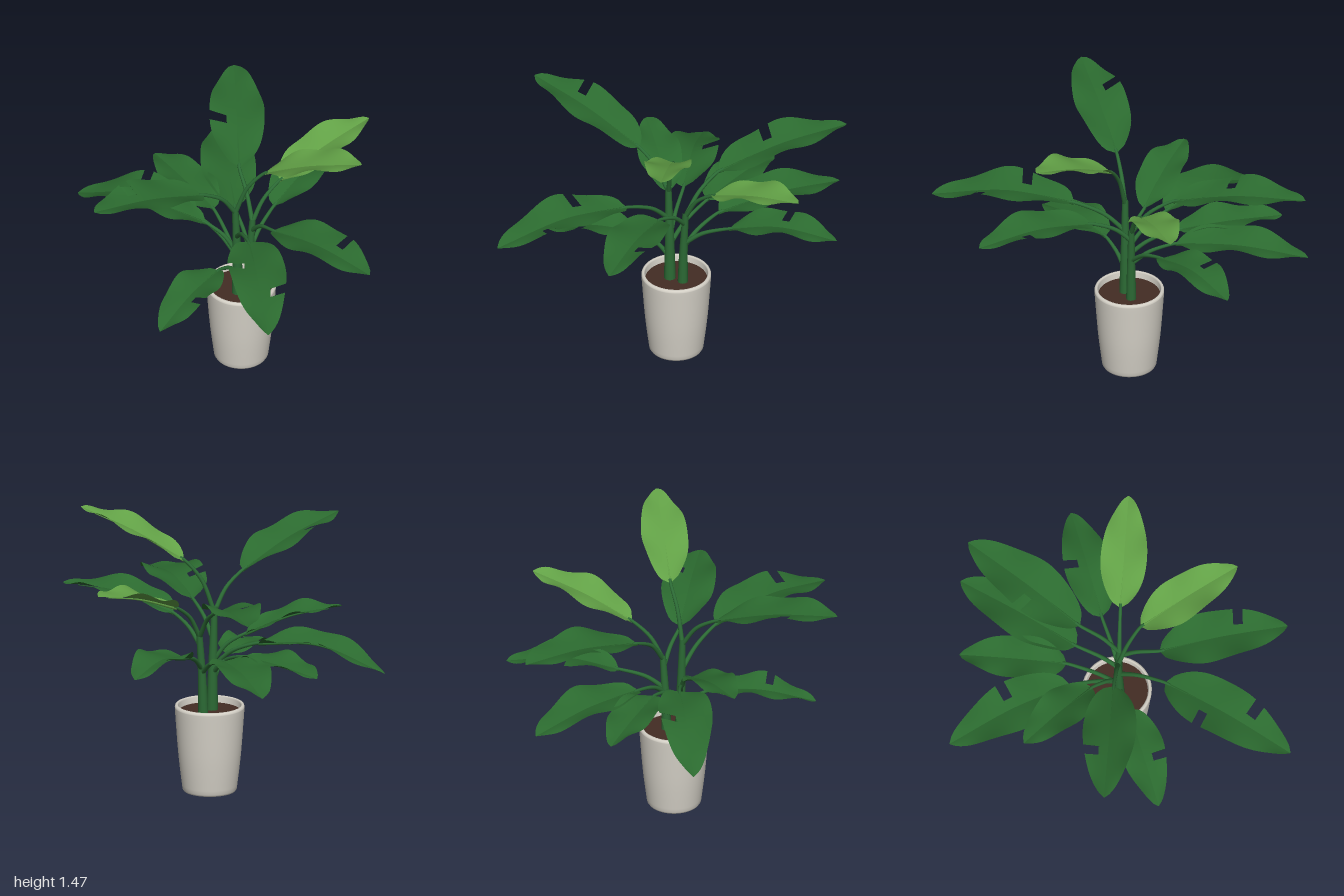
import * as THREE from 'three';

const { lerp } = THREE.MathUtils;
const V = (x, y, z) => new THREE.Vector3(x, y, z);
const mat = (name, color, side = THREE.FrontSide) => {
  const m = new THREE.MeshStandardMaterial({ color, side });
  m.name = name;
  return m;
};

// Round tube along a curve, narrowing from r0 to r1
function taperedTube(curve, r0, r1, segments, sides) {
  const geo = new THREE.TubeGeometry(curve, segments, 1, sides, false);
  const p = geo.attributes.position;
  const v = V(0, 0, 0);
  for (let i = 0; i <= segments; i++) {
    const c = curve.getPointAt(i / segments);
    const r = lerp(r0, r1, i / segments);
    for (let j = 0; j <= sides; j++) {
      const k = i * (sides + 1) + j;
      v.fromBufferAttribute(p, k).sub(c).multiplyScalar(r).add(c);
      p.setXYZ(k, v.x, v.y, v.z);
    }
  }
  return geo;
}

// Blade outline from base (0) to tip (1): broad below the middle, pointed at the end
const halfWidth = (t) => Math.max(0.02, Math.max(0, Math.sin(Math.PI * t ** 0.8)) ** 0.65);

// Folded, rippled blade; a tear is a position along it, negative for the left half
function bladeGeometry(rib, width, tears, seed) {
  const cols = 4, gap = 0.035, depth = 0.62;
  const pos = [], index = [];
  const d = rib.getPoint(1).sub(rib.getPoint(0)).setY(0).normalize();
  const across = V(-d.z, 0, d.x);
  for (const side of [-1, 1]) {
    const cuts = tears.map((c) => c * side).filter((c) => c > 0);
    const rows = Array.from({ length: 33 }, (_, i) => i / 32);
    cuts.forEach((c) => rows.push(c - gap - 0.001, c - gap, c + gap, c + gap + 0.001));
    rows.sort((a, b) => a - b);
    const start = pos.length / 3;
    rows.forEach((t, i) => {
      const torn = cuts.some((c) => Math.abs(t - c) <= gap + 1e-5);
      for (let j = 0; j <= cols; j++) {
        const u = (j / cols) * (torn ? 1 - depth : 1);
        const w = u * halfWidth(t) * width;
        const p = rib.getPoint(Math.min(1, t + 0.1 * u * t * (1 - t)));
        p.addScaledVector(across, side * w);
        p.y += w * 0.3 + 0.014 * u * u * Math.sin(t * 13 + seed + side) * Math.min(1, halfWidth(t) * 2);
        pos.push(p.x, p.y, p.z);
        if (i && j) {
          const b = start + i * (cols + 1) + j, a = b - cols - 1;
          if (side > 0) index.push(a - 1, a, b, a - 1, b, b - 1);
          else index.push(a - 1, b, a, a - 1, b - 1, b);
        }
      }
    });
  }
  const geo = new THREE.BufferGeometry();
  geo.setAttribute('position', new THREE.Float32BufferAttribute(pos, 3));
  geo.setIndex(index);
  geo.computeVertexNormals();
  return geo;
}

export function createModel() {
  const plant = new THREE.Group();
  plant.name = 'pottedPlant';
  const ceramic = mat('ceramic', 0xd6d2c8);
  const soilBrown = mat('soil', 0x432c24);
  const stemGreen = mat('stemGreen', 0x2c6b35);
  const leafGreen = mat('leafGreen', 0x2b6a2f, THREE.DoubleSide);
  const youngGreen = mat('youngLeafGreen', 0x62a146, THREE.DoubleSide);
  const add = (name, geo, material, parent = plant) => {
    const mesh = new THREE.Mesh(geo, material);
    mesh.name = name;
    parent.add(mesh);
    return mesh;
  };

  // Pot with a rounded rim, and the soil inside it
  const wall = new THREE.SplineCurve([
    new THREE.Vector2(0.141, 0.01), new THREE.Vector2(0.162, 0.19),
    new THREE.Vector2(0.178, 0.4), new THREE.Vector2(0.181, 0.45),
  ]).getPoints(16);
  const profile = [
    new THREE.Vector2(0, 0), new THREE.Vector2(0.135, 0), ...wall,
    new THREE.Vector2(0.177, 0.46), new THREE.Vector2(0.168, 0.462),
    new THREE.Vector2(0.162, 0.455), new THREE.Vector2(0.158, 0.39),
  ];
  const centre = V(0.055, 0, -0.048);
  add('pot', new THREE.LatheGeometry(profile, 48), ceramic).position.copy(centre);
  add('soil', new THREE.CylinderGeometry(0.161, 0.159, 0.02, 40), soilBrown)
    .position.set(centre.x, 0.415, centre.z);

  // Blade, stalk and midrib of one leaf; its base lies part of the way out to the tip
  function addLeaf(stem, tip, baseY, out, lift, tears, blade) {
    const leaf = new THREE.Group();
    leaf.name = blade === youngGreen ? 'youngLeaf' : 'leaf';
    plant.add(leaf);
    const base = centre.clone().lerp(tip, out).setY(baseY);
    const middle = base.clone().lerp(tip, 0.47);
    middle.y += lift;
    const rib = new THREE.CatmullRomCurve3([base, middle, tip]);
    const width = 0.04 + 0.145 * Math.hypot(tip.x - base.x, tip.z - base.z);
    add('blade', bladeGeometry(rib, width, tears, tip.x * 9), blade, leaf);

    // Stalk rising beside the stem, then bending out to the blade
    const [foot, , top] = stem.points;
    const start = stem.getPoint(Math.min(0.95, (baseY * 0.86 - foot.y) / (top.y - foot.y)));
    const bend = start.clone().lerp(base, 0.42);
    bend.y = lerp(start.y, baseY, 0.62);
    const stalk = new THREE.CatmullRomCurve3([start, bend, base, rib.getPoint(0.04)]);
    add('stalk', taperedTube(stalk, 0.013, 0.008, 18, 8), stemGreen, leaf);

    // Midrib along the underside
    const under = rib.getPoints(8).slice(0, 8).map((p) => p.setY(p.y - 0.005));
    add('midrib', taperedTube(new THREE.CatmullRomCurve3(under), 0.008, 0.002, 20, 6), blade, leaf);
  }

  // Taller stem and its leaves
  const tall = new THREE.CatmullRomCurve3([V(0.033, 0.41, -0.022), V(0.03, 0.65, -0.022), V(0.02, 0.98, -0.02)]);
  add('tallStem', taperedTube(tall, 0.031, 0.016, 16, 12), stemGreen);
  addLeaf(tall, V(0.05, 0.92, 0.99), 0.95, 0.28, 0.05, [0.36, -0.66], leafGreen);
  addLeaf(tall, V(-0.77, 1.32, 0.35), 1.14, 0.26, 0.025, [0.62], leafGreen);
  addLeaf(tall, V(-0.61, 0.98, -0.22), 0.84, 0.27, 0.03, [], leafGreen);
  addLeaf(tall, V(-0.72, 0.71, -0.6), 0.815, 0.28, 0.07, [0.5], leafGreen);
  addLeaf(tall, V(-0.445, 0.61, 0.49), 0.675, 0.28, 0.03, [-0.56], leafGreen);
  addLeaf(tall, V(-0.29, 0.775, -0.79), 0.775, 0.32, 0.01, [], leafGreen);
  addLeaf(tall, V(0.63, 1.47, 0.34), 1.23, 0.2, 0.02, [], youngGreen);

  // Shorter stem and its leaves
  const short = new THREE.CatmullRomCurve3([V(0.095, 0.41, -0.065), V(0.102, 0.62, -0.066), V(0.118, 0.86, -0.07)]);
  add('shortStem', taperedTube(short, 0.027, 0.016, 16, 12), stemGreen);
  addLeaf(short, V(0.77, 1.2, -0.39), 1.03, 0.3, 0.02, [], youngGreen);
  addLeaf(short, V(0.63, 0.98, 0.64), 0.92, 0.25, 0.035, [-0.64], leafGreen);
  addLeaf(short, V(0.66, 0.82, -0.67), 0.785, 0.33, 0.045, [-0.52], leafGreen);
  addLeaf(short, V(0.15, 1.15, -0.99), 1.03, 0.25, 0.03, [-0.43], leafGreen);
  addLeaf(short, V(0.07, 0.755, -0.99), 0.76, 0.26, 0.03, [], leafGreen);
  return plant;
}
